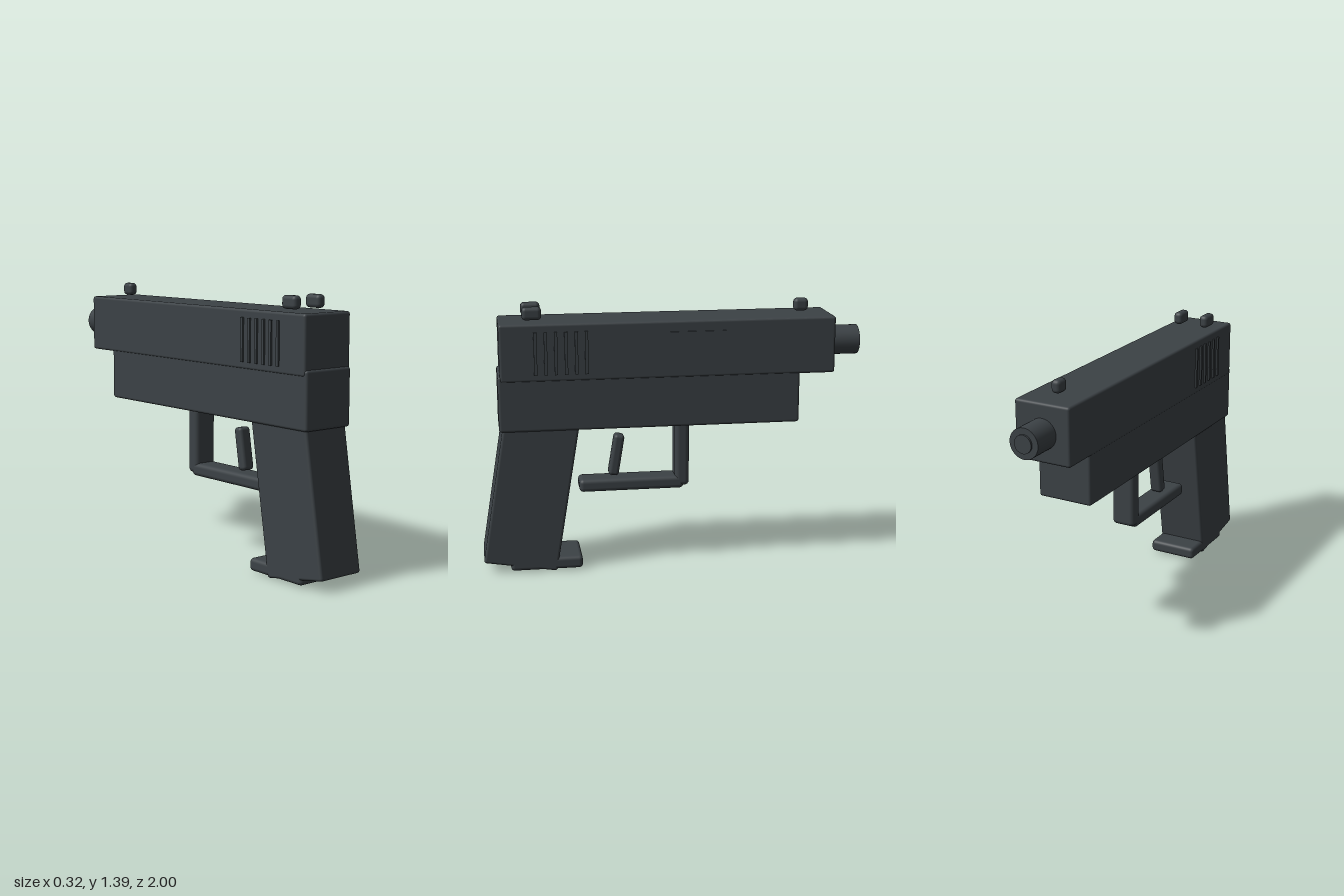
import * as THREE from 'three';
import { RoundedBoxGeometry } from 'three/addons/geometries/RoundedBoxGeometry.js';

const gunmetal = new THREE.MeshStandardMaterial({ color: 0x3c4246 });
gunmetal.name = 'gunmetal';

export function createModel() {
  const model = new THREE.Group();
  model.name = 'pistol';

  const add = (name, geometry, x, y, z, tilt = 0) => {
    const mesh = new THREE.Mesh(geometry, gunmetal);
    mesh.name = name;
    mesh.position.set(x, y, z);
    mesh.rotation.x = tilt;
    model.add(mesh);
    return mesh;
  };

  // Rounded block given by its y and z extents, centred on x
  const block = (name, width, y0, y1, z0, z1, radius, x = 0) =>
    add(name, new RoundedBoxGeometry(width, y1 - y0, z1 - z0, 3, radius),
      x, (y0 + y1) / 2, (z0 + z1) / 2);

  // Slide and frame
  block('slide', 0.3, 1.025, 1.32, -0.838, 0.887, 0.014);
  block('frame', 0.292, 0.767, 1.057, -0.655, 0.898, 0.014);

  // Barrel with a raised bore disc, pointing to -z
  const tube = (name, radius, z0, z1) => {
    const geometry = new THREE.CylinderGeometry(radius, radius, z1 - z0, 32);
    geometry.rotateX(Math.PI / 2);
    add(name, geometry, 0, 1.17, (z0 + z1) / 2);
  };
  tube('barrel', 0.077, -0.99, -0.7);
  tube('bore', 0.046, -1, -0.9);

  // Sights
  for (const x of [-0.078, 0.078]) block('rearSight', 0.05, 1.33, 1.396, 0.668, 0.767, 0.02, x);
  block('frontSight', 0.05, 1.33, 1.396, -0.722, -0.647, 0.02);

  // Grip serrations on both sides of the slide
  for (const side of [-1, 1]) {
    for (let i = 0; i < 6; i++) {
      add('serration', new THREE.BoxGeometry(0.02, 0.218, 0.016), side * 0.149, 1.17, 0.706 - i * 0.0514);
    }
  }

  // Ejection port plate on the left side
  add('ejectionPort', new THREE.BoxGeometry(0.009, 0.118, 0.3), 0.152, 1.205, -0.113);

  // Slanted grip and magazine base
  const slant = -0.165;
  add('grip', new RoundedBoxGeometry(0.266, 0.85, 0.385, 3, 0.014), 0, 0.455, 0.74, slant);
  block('magazineBase', 0.266, 0.014, 0.08, 0.485, 0.86, 0.02);

  // Trigger and its guard
  add('trigger', new RoundedBoxGeometry(0.07, 0.222, 0.055, 3, 0.018), 0, 0.592, 0.291, slant);
  block('guardBar', 0.13, 0.406, 0.474, -0.06, 0.49, 0.022);
  block('guardPost', 0.13, 0.42, 0.77, -0.09, -0.015, 0.024);

  return model;
}
